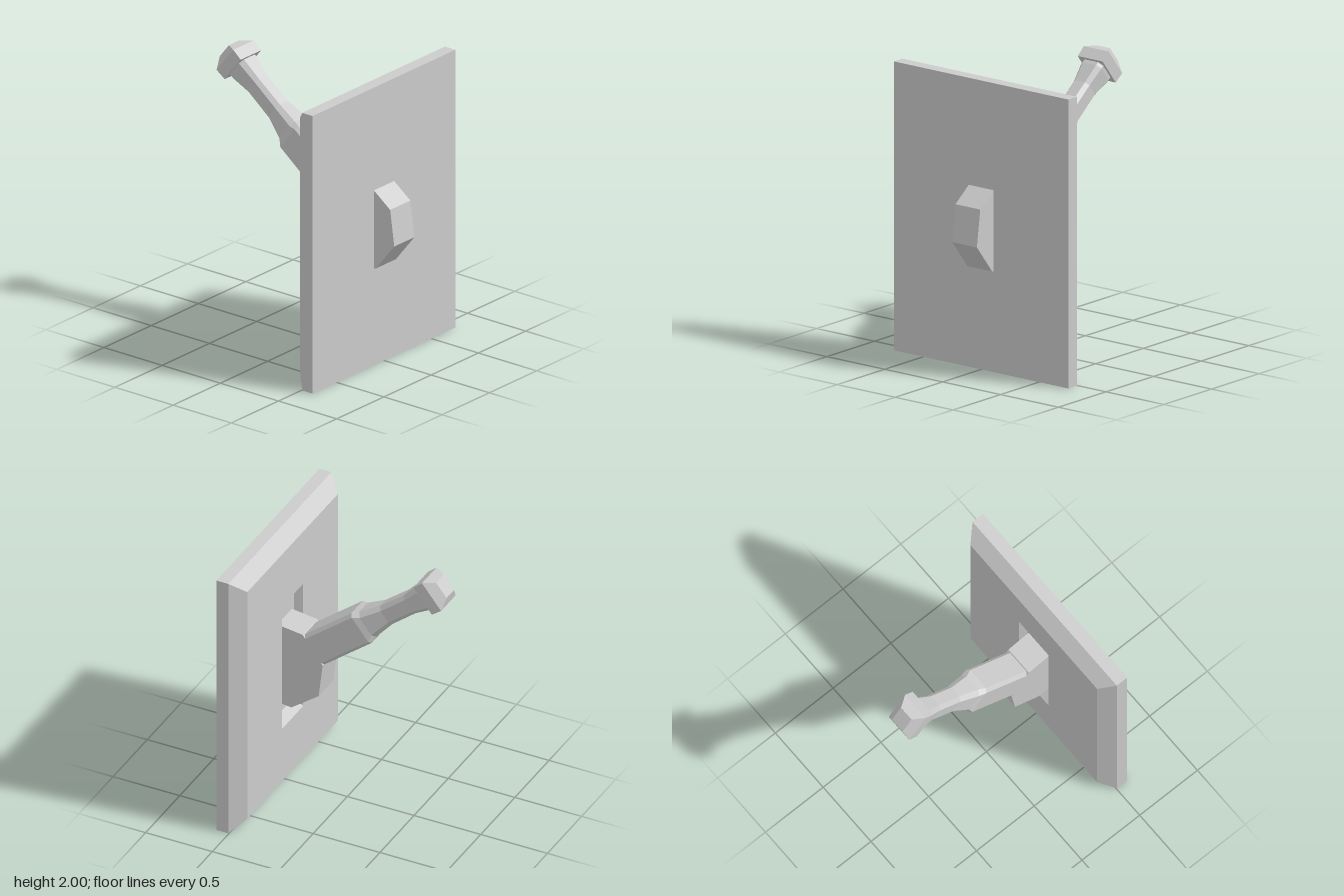
import * as THREE from 'three';

const material = new THREE.MeshStandardMaterial({ color: 0xcccccc, flatShading: true });

// Rectangle section; with a chamfer it becomes an octagon. s is the height along the axis.
function ring(s, w, h, c = 0) {
  const pts = c
    ? [[w, -h + c], [w, h - c], [w - c, h], [-w + c, h], [-w, h - c], [-w, -h + c], [-w + c, -h], [w - c, -h]]
    : [[w, -h], [w, h], [-w, h], [-w, -h]];
  return pts.map(([x, z]) => new THREE.Vector3(x, s, z));
}

// Skin successive sections along +y and close both ends.
function loft(name, rings) {
  const n = rings[0].length, pos = [];
  const tri = (...p) => p.forEach(v => pos.push(v.x, v.y, v.z));
  for (let i = 0; i < rings.length - 1; i++) {
    for (let k = 0; k < n; k++) {
      const a = rings[i][k], b = rings[i][(k + 1) % n];
      const d = rings[i + 1][k], c = rings[i + 1][(k + 1) % n];
      tri(a, d, b);
      tri(b, d, c);
    }
  }
  const first = rings[0], last = rings[rings.length - 1];
  for (let k = 1; k < n - 1; k++) {
    tri(first[0], first[k], first[k + 1]);
    tri(last[0], last[k + 1], last[k]);
  }
  const geo = new THREE.BufferGeometry();
  geo.setAttribute('position', new THREE.Float32BufferAttribute(pos, 3));
  geo.computeVertexNormals();
  const mesh = new THREE.Mesh(geo, material);
  mesh.name = name;
  return mesh;
}

export function createModel() {
  const model = new THREE.Group();
  model.name = 'leverSwitch';

  // Wall plate: bevelled towards the back, with a tapered slot sunk into the back face
  const plate = loft('plate', [
    ring(-0.595, 0.755, 1),
    ring(-0.505, 0.755, 1),
    ring(-0.41, 0.663, 0.908),
    ring(-0.41, 0.155, 0.49),
    ring(-0.47, 0.135, 0.43),
  ]);
  plate.rotation.x = -Math.PI / 2;
  plate.position.y = 1;
  model.add(plate);

  // Octagonal pivot through the plate, drawn as (-z, y) and extruded across x
  const outline = [[-0.77, 0.9], [-0.61, 0.7], [-0.365, 0.667], [-0.16, 0.82],
    [-0.13, 1.075], [-0.28, 1.275], [-0.53, 1.308], [-0.735, 1.155]];
  const pivotGeo = new THREE.ExtrudeGeometry(
    new THREE.Shape(outline.map(p => new THREE.Vector2(...p))),
    { depth: 0.214, bevelEnabled: false });
  pivotGeo.translate(0, 0, -0.107);
  pivotGeo.rotateY(Math.PI / 2);
  const pivot = new THREE.Mesh(pivotGeo, material);
  pivot.name = 'pivot';
  model.add(pivot);

  // Lever, leaning up and back from the pivot
  const lever = new THREE.Group();
  lever.name = 'lever';
  lever.position.set(0, 1.17, 0.2);
  lever.rotation.x = -0.901;
  model.add(lever);

  // Chamfered arm, waisted into the grip and flaring under the knob
  lever.add(loft('arm', [
    ring(-0.06, 0.107, 0.123, 0.024),
    ring(0.445, 0.107, 0.123, 0.024),
    ring(0.49, 0.094, 0.103, 0.033),
    ring(0.655, 0.069, 0.075, 0.028),
    ring(0.88, 0.068, 0.073, 0.026),
    ring(1.02, 0.088, 0.091, 0.03),
    ring(1.06, 0.088, 0.091, 0.03),
  ]));

  // Square knob with a tapered cap
  lever.add(loft('knob', [
    ring(1.045, 0.107, 0.112),
    ring(1.13, 0.107, 0.115),
    ring(1.19, 0.055, 0.063),
  ]));

  return model;
}
